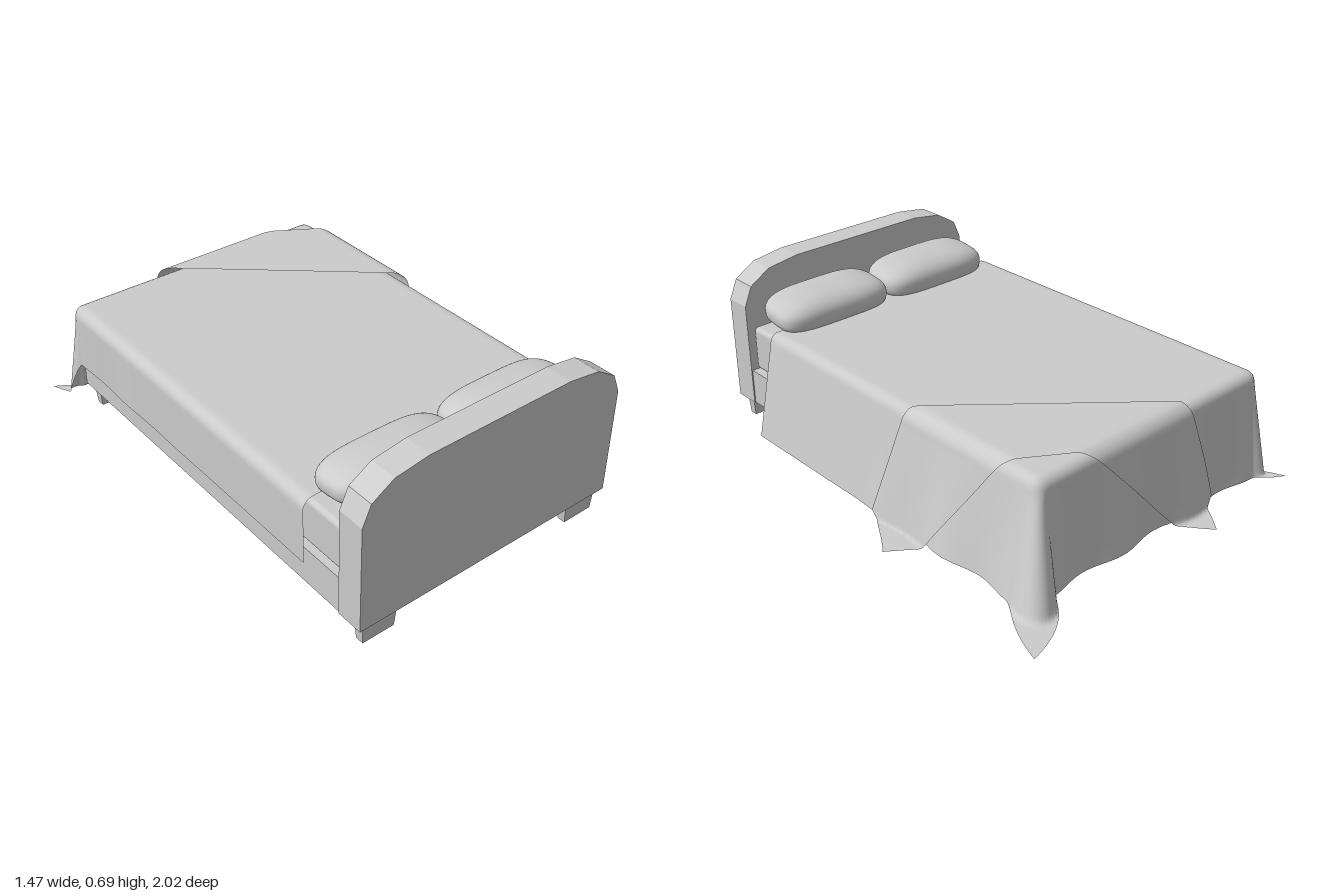
import * as THREE from 'three';
import { RoundedBoxGeometry } from 'three/addons/geometries/RoundedBoxGeometry.js';

const grey = new THREE.MeshStandardMaterial({ color: 0xcccccc });
const clothGrey = new THREE.MeshStandardMaterial({ color: 0xcccccc, side: THREE.DoubleSide });
const CX = -0.11; // centre line of the bed
const EDGE = { x0: -0.665, x1: 0.43, z0: -0.75 }; // flat top of the bedding
const TOP = 0.465, BEND = 0.04, FLOOR = 0.03;

// Drapes a flat plan point over the bed: round the edge, hang down, then spread on the floor
function drape(px, pz, lift) {
  const cx = THREE.MathUtils.clamp(px, EDGE.x0, EDGE.x1), cz = Math.max(pz, EDGE.z0);
  const dx = px - cx, dz = pz - cz, d = Math.hypot(dx, dz);
  if (d < 1e-6) return [cx, TOP + lift, cz];
  const nx = dx / d, nz = dz / d, r = BEND + lift, arc = r * Math.PI / 2;
  if (d < arc) return [cx + nx * r * Math.sin(d / r), TOP + lift - r * (1 - Math.cos(d / r)), cz + nz * r * Math.sin(d / r)];
  const side = nx > 0 ? 0.21 : 0.0;
  const lean = side * nx * nx + 0.13 * nz * nz + (nx > 0 ? 0.4 : 0.1) * Math.abs(nx * nz);
  const fall = (TOP - BEND - FLOOR) / Math.cos(lean);
  const e = Math.min(d - arc, fall), rest = d - arc - e;
  // soft folds, strongest near the foot end
  const fade = THREE.MathUtils.smoothstep(-cz, -0.3, 0.6) * (1 - nx * nx * (nx < 0 ? 0.7 : 0));
  const fold = 0.035 * e * fade * (Math.sin(17 * (cx - cz)) + Math.sin(5 * Math.atan2(nz, nx)));
  const out = r + e * Math.sin(lean) + fold + rest;
  return [cx + nx * out, TOP - BEND - e * Math.cos(lean) + 0.05 * lift, cz + nz * out];
}

// Cloth sheet: plan(u, v) gives the flat position of each grid point
function cloth(name, nu, nv, lift, plan) {
  const pos = [], index = [];
  for (let j = 0; j <= nv; j++) for (let i = 0; i <= nu; i++) {
    const [x, z] = plan(i / nu, j / nv);
    pos.push(...drape(x, z, lift));
    if (i < nu && j < nv) {
      const a = j * (nu + 1) + i, b = a + nu + 1;
      index.push(a, b, a + 1, b, b + 1, a + 1);
    }
  }
  const g = new THREE.BufferGeometry();
  g.setAttribute('position', new THREE.Float32BufferAttribute(pos, 3));
  g.setIndex(index);
  g.computeVertexNormals();
  const m = new THREE.Mesh(g, clothGrey);
  m.name = name;
  return m;
}

// Plump pillow: a squared-off sphere
function pillowGeometry() {
  const g = new THREE.SphereGeometry(1, 48, 32), p = g.attributes.position;
  const pow = (v, e) => Math.sign(v) * Math.abs(v) ** e;
  for (let i = 0; i < p.count; i++) {
    const y = p.getY(i), c = Math.sqrt(Math.max(1e-9, 1 - y * y));
    const x = 0.267 * pow(c, 0.7) * pow(p.getX(i) / c, 0.5);
    const z = 0.125 * pow(c, 0.7) * pow(p.getZ(i) / c, 0.6);
    p.setXYZ(i, x, 0.077 * pow(y, 0.8) + 0.12 * z, z);
  }
  g.computeVertexNormals();
  return g;
}

export function createModel() {
  const bed = new THREE.Group();
  bed.name = 'bed';
  const add = (name, geometry, x, y, z) => {
    const m = new THREE.Mesh(geometry, grey);
    m.name = name;
    m.position.set(x, y, z);
    bed.add(m);
    return m;
  };

  // Headboard with faceted top corners
  const half = [[0.58, 0.09], [0.58, 0.53], [0.545, 0.61], [0.455, 0.665], [0.315, 0.685]];
  const outline = [...half, ...half.map(([x, y]) => [-x, y]).reverse()].map(([x, y]) => new THREE.Vector2(x, y));
  add('headboard', new THREE.ExtrudeGeometry(new THREE.Shape(outline), { depth: 0.11, bevelEnabled: false }), CX, 0, 0.89);

  // Frame and mattress
  add('frame', new THREE.BoxGeometry(1.15, 0.15, 1.67), CX, 0.165, 0.06);
  add('mattress', new RoundedBoxGeometry(1.12, 0.19, 1.63, 3, 0.02), CX, 0.345, 0.065);

  // Tapered slab legs
  const leg = new THREE.BoxGeometry(0.15, 0.09, 0.042), lp = leg.attributes.position;
  for (let i = 0; i < lp.count; i++) if (lp.getY(i) < 0) {
    lp.setX(i, lp.getX(i) * 0.9);
    lp.setZ(i, lp.getZ(i) * 0.8);
  }
  leg.computeVertexNormals();
  for (const s of [-1, 1]) {
    add('headLeg', leg, CX + s * 0.48, 0.045, 0.96);
    add('footLeg', leg, CX + s * 0.48, 0.045, -0.728);
  }

  // Pair of pillows
  const pillow = pillowGeometry();
  for (const s of [-1, 1]) add('pillow', pillow, CX + s * 0.266, 0.505, 0.765);

  // Duvet: short on the right, down to the floor on the left and foot
  const x0 = EDGE.x0 - 0.29, x1 = EDGE.x1 + 0.465, z0 = EDGE.z0 - 0.46;
  bed.add(cloth('duvet', 110, 120, 0, (u, v) => [x0 + (x1 - x0) * u, z0 + (0.725 - z0) * v]));

  // Throw: a diagonal strip lofted between two edge lines, from foot to left side
  const edgeA = [[-0.4, -1.21], [-0.27, -0.77], [0.46, -0.14], [0.91, -0.04]];
  const edgeB = [[-0.28, -1.35], [0.25, -0.77], [0.46, -0.64], [1.06, -0.25]];
  const along = (pts, t) => {
    const k = Math.min(2, Math.floor(t * 3)), f = t * 3 - k;
    return pts[k].map((c, i) => c + (pts[k + 1][i] - c) * f);
  };
  bed.add(cloth('throwBlanket', 120, 40, 0.024, (u, v) => {
    const a = along(edgeA, u), b = along(edgeB, u);
    return [a[0] + (b[0] - a[0]) * v, a[1] + (b[1] - a[1]) * v];
  }));
  return bed;
}
